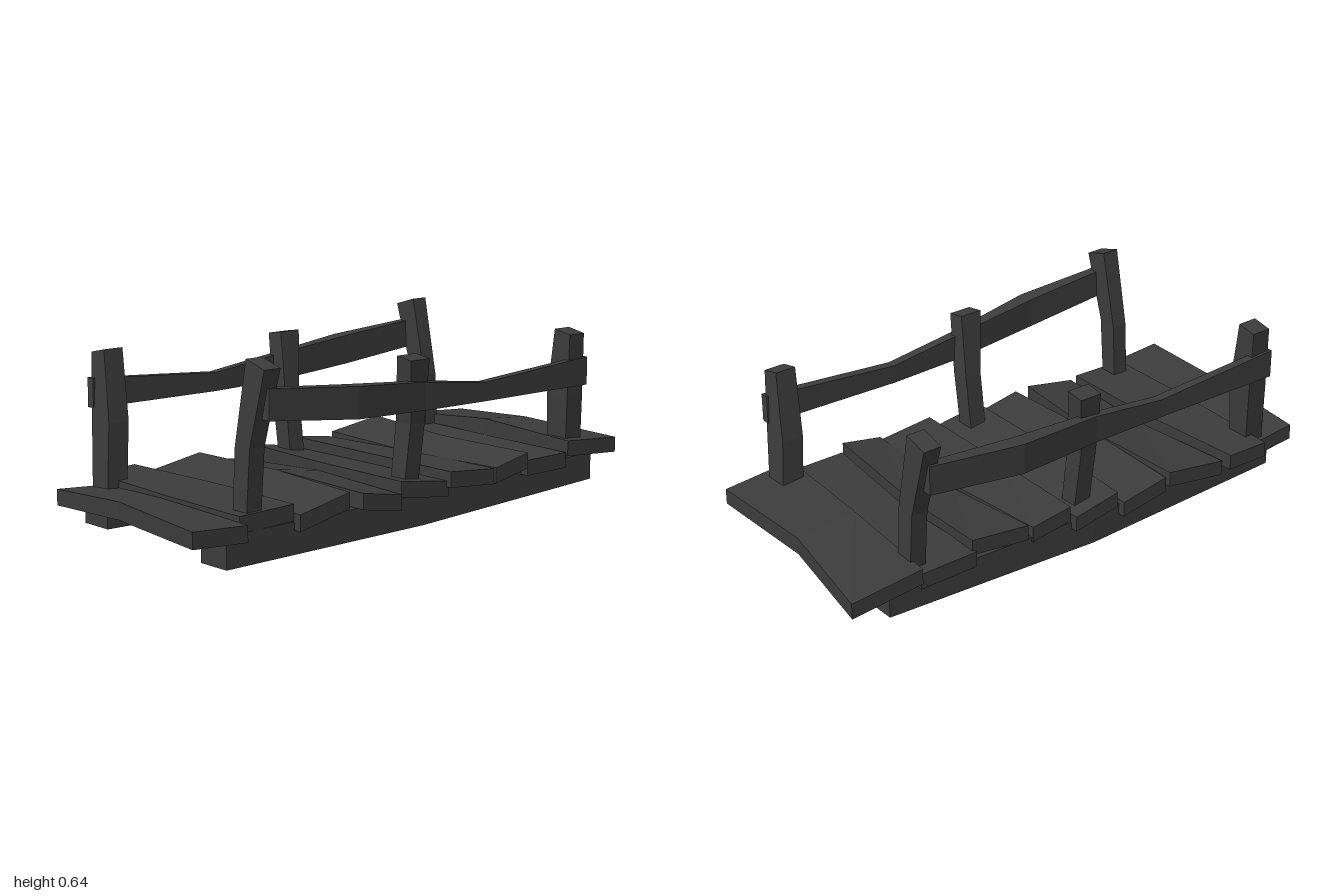
import * as THREE from 'three';

const wood = new THREE.MeshStandardMaterial({ color: 0x3c3c3c, flatShading: true });

// Hewn timber: lofts a run of four-cornered sections and caps both ends.
// Corners run counter-clockwise seen from the far end.
function timber(name, sections) {
  const pos = [];
  const quad = (a, b, c, d) => pos.push(...a, ...b, ...c, ...a, ...c, ...d);
  for (let s = 0; s < sections.length - 1; s++) {
    const p = sections[s], q = sections[s + 1];
    for (let i = 0; i < 4; i++) {
      const j = (i + 1) % 4;
      quad(p[i], p[j], q[j], q[i]);
    }
  }
  const first = sections[0], last = sections[sections.length - 1];
  quad(first[3], first[2], first[1], first[0]);
  quad(last[0], last[1], last[2], last[3]);
  const geo = new THREE.BufferGeometry();
  geo.setAttribute('position', new THREE.Float32BufferAttribute(pos, 3));
  geo.computeVertexNormals();
  const mesh = new THREE.Mesh(geo, wood);
  mesh.name = name;
  return mesh;
}

// Section helpers for timbers running along x, y and z
const alongX = ([x, z0, z1, t0, t1, thick]) => [
  [x, t0 - thick, z0], [x, t0, z0], [x, t1, z1], [x, t1 - thick, z1]];
const alongY = ([y0, y1, x0, x1, z0, z1]) => [
  [x0, y0, z0], [x0, y0, z1], [x1, y1, z1], [x1, y1, z0]];
const alongZ = ([z, x0, x1, y0, y1]) => [
  [x0, y0, z], [x1, y0, z], [x1, y1, z], [x0, y1, z]];

// Deck planks: back and front edge at the right end, middle and left end (z),
// the two end positions (x), top height at the back and front edge, mid bow
const planks = [
  [-1.0, -0.73, -0.94, -0.72, -0.94, -0.68, -0.41, 0.42, 0.19, 0.21, 0.015],
  [-0.73, -0.51, -0.70, -0.52, -0.67, -0.47, -0.40, 0.42, 0.17, 0.17, 0.0],
  [-0.52, -0.29, -0.50, -0.31, -0.46, -0.30, -0.39, 0.43, 0.20, 0.17, -0.01],
  [-0.27, -0.11, -0.30, -0.10, -0.31, -0.09, -0.39, 0.42, 0.165, 0.185, 0.0],
  [-0.10, 0.08, -0.10, 0.11, -0.10, 0.12, -0.41, 0.40, 0.15, 0.18, 0.0],
  [0.11, 0.30, 0.11, 0.30, 0.13, 0.30, -0.41, 0.41, 0.14, 0.17, 0.01],
  [0.31, 0.56, 0.30, 0.53, 0.35, 0.56, -0.42, 0.40, 0.18, 0.14, 0.0],
  [0.57, 0.74, 0.55, 0.77, 0.56, 0.78, -0.45, 0.37, 0.17, 0.165, 0.0],
  [0.73, 0.93, 0.78, 0.95, 0.78, 0.995, -0.39, 0.41, 0.145, 0.16, 0.012],
];

export function createModel() {
  const model = new THREE.Group();
  model.name = 'footbridge';

  const deck = new THREE.Group();
  deck.name = 'deck';
  for (const [a0, a1, m0, m1, b0, b1, xa, xb, t0, t1, bow] of planks) {
    deck.add(timber('plank', [
      [xa, a0, a1, t0 - bow, t1 - bow, 0.055],
      [-0.02, m0, m1, t0 + bow, t1 + bow, 0.06],
      [xb, b0, b1, t0, t1, 0.055],
    ].map(alongX)));
  }
  model.add(deck);

  // Long beams carrying the deck
  model.add(timber('leftBeam', [
    [-0.84, 0.26, 0.39, 0.045, 0.145],
    [0, 0.25, 0.38, 0.01, 0.115],
    [0.83, 0.24, 0.365, 0.003, 0.11],
  ].map(alongZ)));
  model.add(timber('rightBeam', [
    [-0.84, -0.38, -0.26, 0.045, 0.145],
    [0, -0.385, -0.26, 0.004, 0.115],
    [0.83, -0.375, -0.25, 0.02, 0.11],
  ].map(alongZ)));

  // Both railings are the same, one turned half way round
  for (const [name, turn] of [['leftRailing', 0], ['rightRailing', Math.PI]]) {
    const railing = new THREE.Group();
    railing.name = name;
    railing.add(
      timber('tallPost', [
        [0.10, 0.10, 0.285, 0.35, 0.68, 0.74],
        [0.36, 0.37, 0.30, 0.372, 0.68, 0.74],
        [0.645, 0.62, 0.352, 0.438, 0.67, 0.735],
      ].map(alongY)),
      timber('middlePost', [
        [0.10, 0.10, 0.285, 0.35, 0.0, 0.065],
        [0.36, 0.36, 0.305, 0.375, -0.01, 0.055],
        [0.585, 0.575, 0.34, 0.405, 0.0, 0.085],
      ].map(alongY)),
      timber('shortPost', [
        [0.10, 0.10, 0.29, 0.372, -0.80, -0.72],
        [0.36, 0.36, 0.30, 0.395, -0.78, -0.70],
        [0.60, 0.585, 0.34, 0.41, -0.765, -0.69],
      ].map(alongY)),
      timber('handrail', [
        [-0.78, 0.385, 0.415, 0.40, 0.50],
        [-0.27, 0.37, 0.405, 0.40, 0.465],
        [0.02, 0.375, 0.41, 0.405, 0.50],
        [0.36, 0.395, 0.455, 0.425, 0.53],
        [0.71, 0.395, 0.43, 0.46, 0.56],
      ].map(alongZ)),
    );
    railing.rotation.y = turn;
    model.add(railing);
  }
  return model;
}
